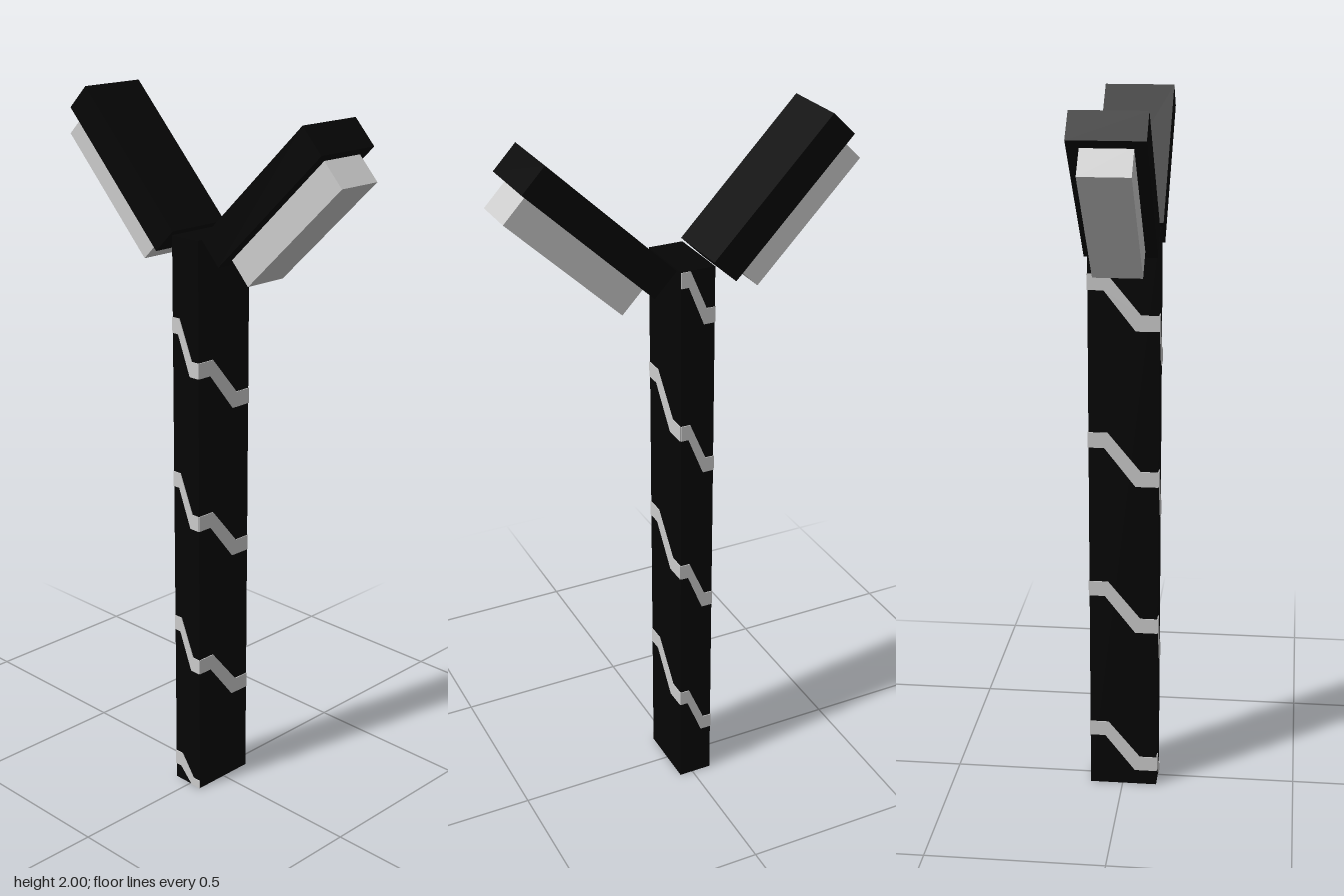
import * as THREE from 'three';

const black = new THREE.MeshStandardMaterial({ color: 0x050505 });
const grey = new THREE.MeshStandardMaterial({ color: 0xcccccc });

const CX = -0.0025, CZ = -0.009;      // post axis
const HALF_W = 0.0965, HALF_D = 0.049;
const POST_H = 1.64;
const DROP = 0.1107, BAND = 0.044;    // fall per face, band height

function box(name, w, h, d, material) {
  const mesh = new THREE.Mesh(new THREE.BoxGeometry(w, h, d), material);
  mesh.name = name;
  return mesh;
}

// Stepped band across one face: flat, diagonal, flat; cut off at the ground
function band(half, top) {
  const points = [
    [-1, top], [-0.45, top], [0.5, top - DROP], [1, top - DROP],
    [1, top - DROP - BAND], [0.35, top - DROP - BAND], [-0.55, top - BAND], [-1, top - BAND],
  ].map(([u, y], i) => new THREE.Vector2(u * half, Math.max(y, i < 4 ? 0.025 : 0)));
  const geometry = new THREE.ExtrudeGeometry(new THREE.Shape(points), { depth: 0.003, bevelEnabled: false });
  return new THREE.Mesh(geometry, grey);
}

// Tilted arm with a lamp block on its underside
function arm(name, side, z, y, angle, length) {
  const group = new THREE.Group();
  group.name = name;
  const panel = box('armPanel', 0.195, 0.09, length, black);
  const lamp = box('lampBlock', 0.132, 0.09, 0.426, grey);
  lamp.position.y = -0.084;
  group.add(panel, lamp);
  group.rotation.order = 'YXZ';
  group.rotation.set(-THREE.MathUtils.degToRad(angle), side > 0 ? 0 : Math.PI, 0);
  group.position.set(CX, y, z);
  return group;
}

export function createModel() {
  const model = new THREE.Group();

  const post = box('post', HALF_W * 2, POST_H, HALF_D * 2, black);
  post.position.set(CX, POST_H / 2, CZ);
  model.add(post);

  // Bands winding down around the post, one face at a time
  const bands = new THREE.Group();
  bands.name = 'spiralBands';
  for (let i = 0; i < 15; i++) {
    const face = (i + 1) % 4;         // 0 front, 1 +x side, 2 back, 3 -x side
    const wide = face % 2 === 0;
    const top = POST_H - 0.001 - i * DROP;
    const stripe = band(wide ? HALF_W : HALF_D, top);
    stripe.name = 'band' + (i + 1);
    stripe.position.z = (wide ? HALF_D : HALF_W) - 0.0005;
    const holder = new THREE.Group();
    holder.name = 'bandFace';
    holder.rotation.y = face * Math.PI / 2;
    holder.add(stripe);
    bands.add(holder);
  }
  bands.position.set(CX, 0, CZ);
  model.add(bands);

  model.add(arm('frontArm', 1, 0.2565, 1.779, 43.7, 0.477));
  model.add(arm('backArm', -1, -0.2555, 1.792, 45.8, 0.483));
  return model;
}
